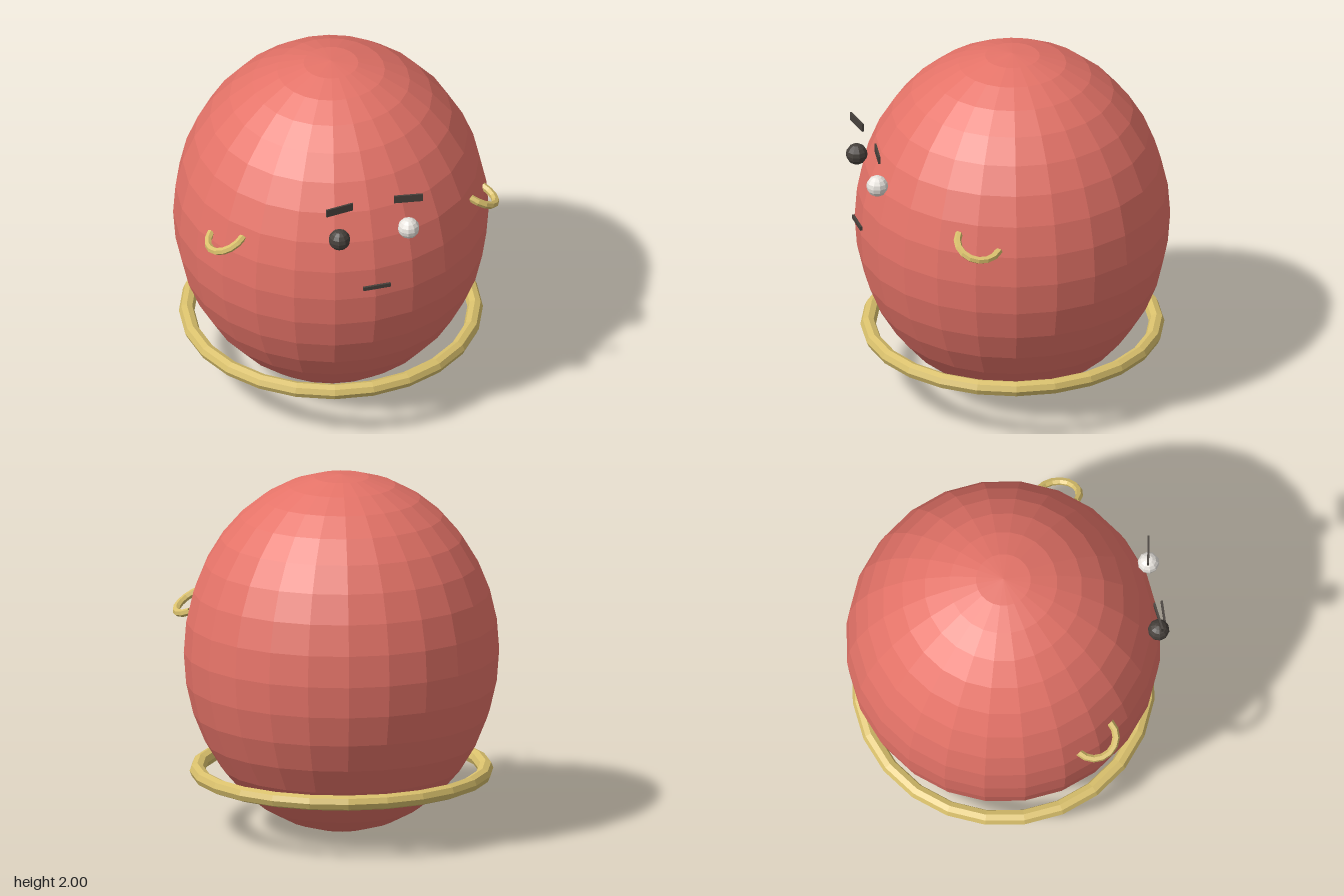
import * as THREE from 'three';

const rad = THREE.MathUtils.degToRad;

function material(color, side = THREE.FrontSide) {
  return new THREE.MeshStandardMaterial({ color, flatShading: true, side });
}

export function createModel() {
  const model = new THREE.Group();
  const red = material(0xe57368);
  const gold = material(0xd9c06c, THREE.DoubleSide);
  const dark = material(0x46403b);
  const white = material(0xe8e4de);

  function add(name, geometry, mat, x, y, z) {
    const mesh = new THREE.Mesh(geometry, mat);
    mesh.name = name;
    mesh.position.set(x, y, z);
    model.add(mesh);
    return mesh;
  }

  // Egg-shaped body
  const body = new THREE.SphereGeometry(1, 24, 18).scale(0.867, 1, 0.867);
  add('body', body, red, 0, 1, -0.013);

  // Hoop around the lower body
  const hoop = new THREE.TorusGeometry(0.792, 0.043, 8, 24).rotateX(Math.PI / 2);
  add('hoop', hoop, gold, 0, 0.333, -0.013);

  for (const side of [-1, 1]) {
    const label = side > 0 ? 'left' : 'right';

    // Eyes: one light, one dark
    add(label + 'Eye', new THREE.SphereGeometry(0.06, 10, 8),
      side > 0 ? white : dark, side * 0.198, 1.4, 0.82);

    // Eyebrows, outer ends turned slightly forward
    const brow = add(label + 'Eyebrow', new THREE.BoxGeometry(0.16, 0.045, 0.011),
      dark, side * 0.197, 1.598, 0.819);
    brow.rotation.y = -side * 0.15;

    // Half-ring arms, tilted down and outward
    const arm = new THREE.TorusGeometry(0.12, 0.021, 6, 8, Math.PI)
      .rotateZ(rad(side > 0 ? -53 : 53))
      .rotateX(Math.PI / 2)
      .rotateZ(rad(-30 * side));
    add(label + 'Arm', arm, gold, side * 0.714, 1.246, 0.39);
  }

  // Mouth
  add('mouth', new THREE.BoxGeometry(0.157, 0.022, 0.013), dark, 0, 1.082, 0.876);

  return model;
}
